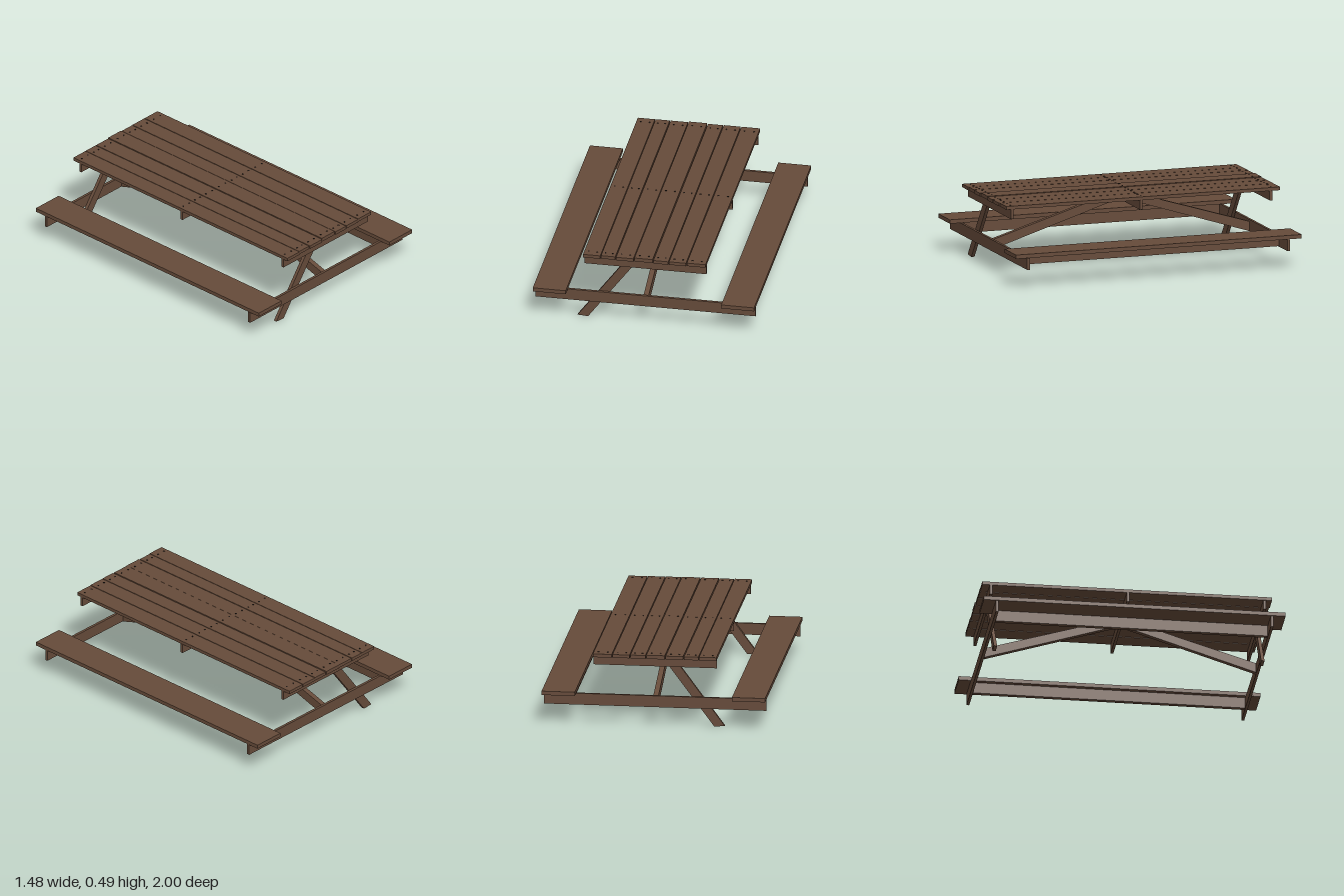
import * as THREE from 'three';

export function createModel() {
  const wood = new THREE.MeshStandardMaterial({ color: 0x664b3a });
  wood.name = 'brown wood';
  const iron = new THREE.MeshStandardMaterial({ color: 0x1c1612 });
  iron.name = 'dark iron';

  const table = new THREE.Group();
  table.name = 'picnicTable';

  // Box given by its limits on each axis
  function board(name, [x0, x1], [y0, y1], [z0, z1]) {
    const mesh = new THREE.Mesh(new THREE.BoxGeometry(x1 - x0, y1 - y0, z1 - z0), wood);
    mesh.name = name;
    mesh.position.set((x0 + x1) / 2, (y0 + y1) / 2, (z0 + z1) / 2);
    table.add(mesh);
    return mesh;
  }

  // Slanted board: an outline extruded through its thickness, centred on z = 0
  function slanted(name, points, thickness) {
    const shape = new THREE.Shape(points.map(([x, y]) => new THREE.Vector2(x, y)));
    const geometry = new THREE.ExtrudeGeometry(shape, { depth: thickness, bevelEnabled: false });
    geometry.translate(0, 0, -thickness / 2);
    const mesh = new THREE.Mesh(geometry, wood);
    mesh.name = name;
    table.add(mesh);
    return mesh;
  }

  // Table top planks, uneven in width and length, with pairs of nails
  const planks = [
    [-0.413, -0.298, -0.967, 0.953], [-0.294, -0.199, -0.968, 0.948],
    [-0.193, -0.077, -0.968, 0.952], [-0.072, 0.05, -0.972, 0.945],
    [0.056, 0.156, -0.97, 0.95], [0.161, 0.274, -0.972, 0.948],
    [0.279, 0.404, -0.972, 0.944],
  ];
  const nailGeometry = new THREE.CylinderGeometry(0.006, 0.006, 0.004, 8);
  planks.forEach(([x0, x1, z0, z1], i) => {
    const top = i === 3 ? 0.492 : 0.489;
    board('topPlank', [x0, x1], [0.467, top], [z0, z1]);
    for (const z of [-0.918, -0.008, 0.905]) {
      for (const t of [0.25, 0.75]) {
        const nail = new THREE.Mesh(nailGeometry, iron);
        nail.name = 'nail';
        nail.position.set(x0 + (x1 - x0) * t, top, z);
        table.add(nail);
      }
    }
  });

  // Cross beams under the top
  for (const z of [-0.908, 0, 0.905]) {
    board('topBeam', [-0.41, 0.405], [0.403, 0.467], [z - 0.009, z + 0.009]);
  }

  // Seats with lengthwise bearers
  for (const side of [-1, 1]) {
    const seat = board('seat', [-0.11, 0.11], [0.205, 0.231], [-1, 1]);
    seat.position.x = side * 0.63;
    const bearer = board('seatBearer', [-0.015, 0.015], [0.13, 0.205], [-0.9, 0.9]);
    bearer.position.x = side * 0.565;
  }

  // At each end: seat rail, slanted leg, and brace up to the middle beam
  for (const end of [-1, 1]) {
    const z = end * 0.911;
    board('seatRail', [-0.738, 0.735], [0.125, 0.202], [z - 0.009, z + 0.009]);

    const leg = slanted('leg', [[-0.46, 0.005], [-0.39, 0], [-0.045, 0.465], [-0.12, 0.465]], 0.022);
    leg.position.z = end * 0.886;

    const brace = slanted('brace', [[0, 0.41], [0.9, 0.125], [0.9, 0.19], [0, 0.465]], 0.034);
    brace.rotation.y = -end * Math.PI / 2;
    brace.position.x = -0.003;
  }

  return table;
}
